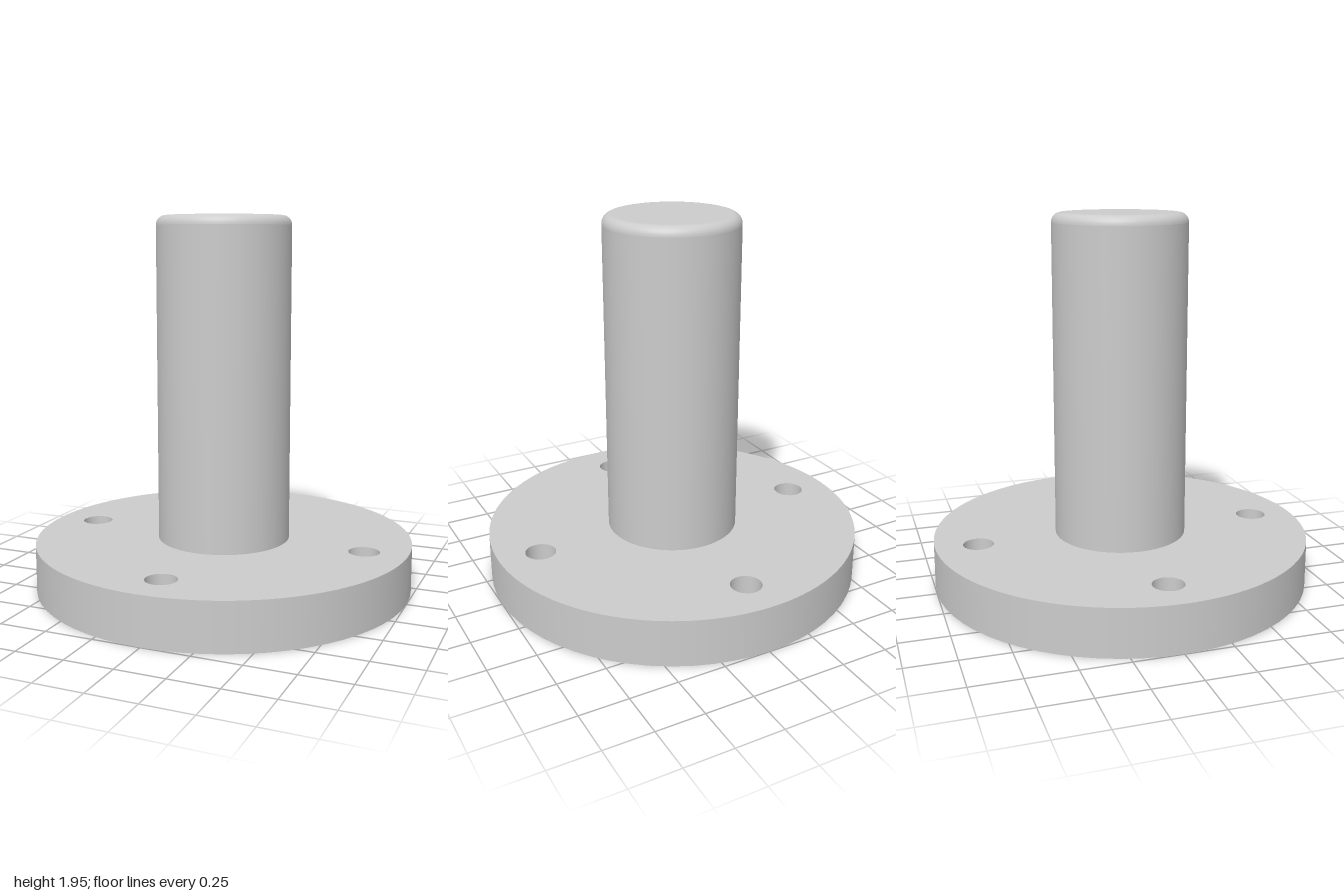
import * as THREE from 'three';

const SEG = 64;
const PLATE_R = 1, PLATE_H = 0.25;
const POST_R = 0.35, TOP = 1.95, FILLET = 0.05;
const HOLE_R = 0.08, HOLE_RING = 0.775;
const BORE_R = 0.1, BORE_DEPTH = 0.6;

const material = new THREE.MeshStandardMaterial({ color: 0xcccccc });

// Bolt hole centres, one on each axis direction
const holeCentres = [0, 1, 2, 3].map((i) => {
  const a = (i * Math.PI) / 2;
  return [HOLE_RING * Math.cos(a), HOLE_RING * Math.sin(a)];
});

function addMesh(parent, name, geometry) {
  const mesh = new THREE.Mesh(geometry, material);
  mesh.name = name;
  parent.add(mesh);
  return mesh;
}

// Surface of revolution; the solid lies to the left of the profile's direction
function turned(points, segments = SEG) {
  return new THREE.LatheGeometry(points.map(([r, y]) => new THREE.Vector2(r, y)), segments);
}

// Flat disc pierced by the bolt holes and a central opening
function piercedDisc(centreRadius) {
  const shape = new THREE.Shape().absarc(0, 0, PLATE_R, 0, Math.PI * 2, false);
  const openings = [[0, 0, centreRadius], ...holeCentres.map(([x, y]) => [x, y, HOLE_R])];
  for (const [x, y, r] of openings) {
    shape.holes.push(new THREE.Path().absarc(x, y, r, 0, Math.PI * 2, true));
  }
  return new THREE.ShapeGeometry(shape, SEG);
}

export function createModel() {
  const model = new THREE.Group();
  model.name = 'flangedPost';

  // Round base flange
  const flange = new THREE.Group();
  flange.name = 'flange';
  model.add(flange);
  addMesh(flange, 'flangeRim', turned([[PLATE_R, 0], [PLATE_R, PLATE_H]]));
  addMesh(flange, 'flangeTop', piercedDisc(POST_R).rotateX(-Math.PI / 2)).position.y = PLATE_H;
  addMesh(flange, 'flangeUnderside', piercedDisc(BORE_R).rotateX(Math.PI / 2));
  for (const [x, z] of holeCentres) {
    addMesh(flange, 'boltHole', turned([[HOLE_R, PLATE_H], [HOLE_R, 0]])).position.set(x, 0, z);
  }

  // Post with a rounded top edge
  const post = new THREE.Group();
  post.name = 'post';
  model.add(post);
  const edge = [];
  for (let i = 0; i <= 8; i++) {
    const a = (i / 8) * (Math.PI / 2);
    edge.push([POST_R - FILLET + FILLET * Math.cos(a), TOP - FILLET + FILLET * Math.sin(a)]);
  }
  addMesh(post, 'postWall', turned([[POST_R, PLATE_H], [POST_R, TOP - FILLET]]));
  addMesh(post, 'postRoundedEdge', turned(edge));
  addMesh(post, 'postTop', turned([[POST_R - FILLET, TOP], [0, TOP]]));

  // Blind bore from below
  addMesh(post, 'boreWall', turned([[BORE_R, BORE_DEPTH], [BORE_R, 0]]));
  addMesh(post, 'boreEnd', turned([[0, BORE_DEPTH], [BORE_R, BORE_DEPTH]]));

  return model;
}
